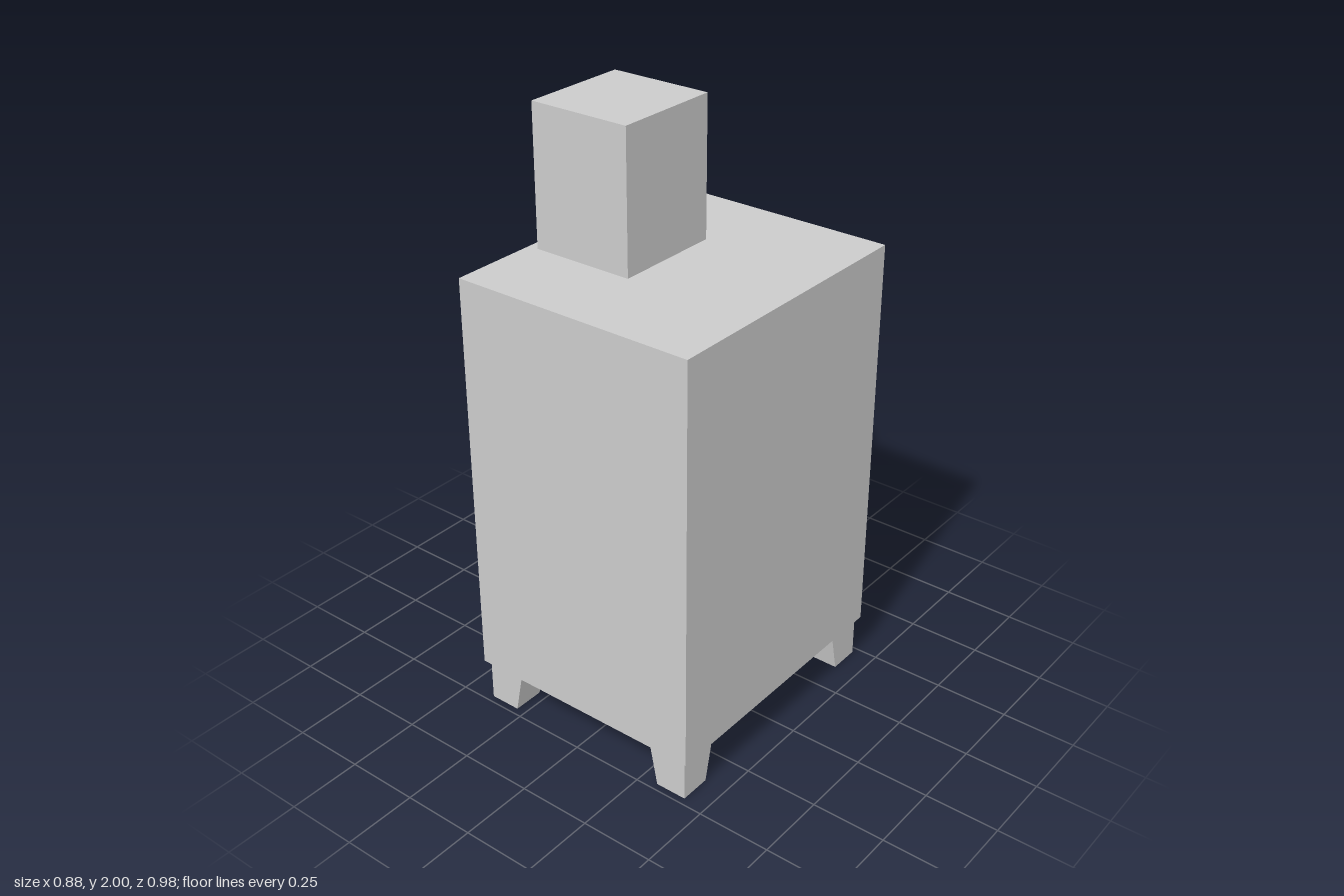
import * as THREE from 'three';

const material = new THREE.MeshStandardMaterial({ color: 0xcccccc, flatShading: true, side: THREE.DoubleSide });

function add(group, name, geometry) {
  const mesh = new THREE.Mesh(geometry, material);
  mesh.name = name;
  group.add(mesh);
  return mesh;
}

// Axis-aligned block from its two extreme corners
function block([x0, y0, z0], [x1, y1, z1]) {
  return new THREE.BoxGeometry(x1 - x0, y1 - y0, z1 - z0)
    .translate((x0 + x1) / 2, (y0 + y1) / 2, (z0 + z1) / 2);
}

// Flat-sided band joining two four-cornered rings, optionally closed by the second ring
function band(a, b, capped) {
  const points = [];
  const quad = (p, q, r, s) => points.push(...p, ...q, ...r, ...p, ...r, ...s);
  for (let i = 0; i < 4; i++) {
    const j = (i + 1) % 4;
    quad(a[i], a[j], b[j], b[i]);
  }
  if (capped) quad(...b);
  const geometry = new THREE.BufferGeometry();
  geometry.setAttribute('position', new THREE.Float32BufferAttribute(points, 3));
  geometry.computeVertexNormals();
  return geometry;
}

// Horizontal ring, counter-clockwise from above
const levelRing = (y, x0, x1, z0, z1) => [[x0, y, z1], [x1, y, z1], [x1, y, z0], [x0, y, z0]];
// Upright ring facing -x
const sideRing = (x, y0, y1, z0, z1) => [[x, y0, z0], [x, y0, z1], [x, y1, z1], [x, y1, z0]];

// Rectangle in the side plane (z, y), used as outline or hole
function rect(PathType, z0, z1, y0, y1) {
  return new PathType([[z0, y0], [z1, y0], [z1, y1], [z0, y1]].map(p => new THREE.Vector2(...p)));
}

export function createModel() {
  const group = new THREE.Group();
  const X0 = -0.41, X1 = 0.435, Z = 0.49, Y0 = 0.148, Y1 = 1.535;
  const pane = [-0.365, 0.365, 0.71, 1.4];
  const niche = [-0.46, 0.472, 0.18, 0.555];

  // Hollow cabinet, open underneath: top, two broad walls and plain end wall
  const cabinet = new THREE.Group();
  cabinet.name = 'cabinet';
  group.add(cabinet);
  const width = X1 - X0, height = Y1 - Y0, midX = (X0 + X1) / 2, midY = (Y0 + Y1) / 2;
  add(cabinet, 'top', new THREE.PlaneGeometry(width, 2 * Z).rotateX(-Math.PI / 2).translate(midX, Y1, 0));
  add(cabinet, 'frontWall', new THREE.PlaneGeometry(width, height).translate(midX, midY, Z));
  add(cabinet, 'rearWall', new THREE.PlaneGeometry(width, height).rotateY(Math.PI).translate(midX, midY, -Z));
  add(cabinet, 'endWall', new THREE.PlaneGeometry(2 * Z, height).rotateY(Math.PI / 2).translate(X1, midY, 0));

  // Door-side wall with openings for the window and the lower niche
  const wall = rect(THREE.Shape, -Z, Z, Y0, Y1);
  wall.holes.push(rect(THREE.Path, ...pane), rect(THREE.Path, ...niche));
  add(cabinet, 'doorWall', new THREE.ShapeGeometry(wall).rotateY(-Math.PI / 2).translate(X0, 0, 0));

  // Shallow niche with a floor sloping up to its back
  const [n0, n1, n2, n3] = niche;
  add(group, 'niche', band(
    sideRing(X0, n2, n3, n0, n1),
    sideRing(X0 + 0.05, n2 + 0.09, n3, n0 + 0.005, n1 - 0.005), true));

  // Door frame and its recessed window
  const frame = rect(THREE.Shape, -0.467, 0.467, 0.58, 1.505);
  frame.holes.push(rect(THREE.Path, ...pane));
  add(group, 'doorFrame', new THREE.ExtrudeGeometry(frame, { depth: 0.014, bevelEnabled: false })
    .rotateY(-Math.PI / 2).translate(X0, 0, 0));
  const [p0, p1, p2, p3] = pane;
  add(group, 'doorWindow', band(
    sideRing(X0, p2, p3, p0, p1), sideRing(X0 + 0.01, p2, p3, p0, p1), true));

  // Square flue and the bar on its side
  add(group, 'flue', block([-0.375, Y1, -0.188], [-0.02, 2, 0.188]));
  add(group, 'doorBar', block([-0.44, 1.457, -0.073], [-0.375, 1.922, 0.07]));

  // Four hollow feet, upright outside and tapering on the inner sides
  for (const sx of [-1, 1]) {
    for (const sz of [-1, 1]) {
      const ring = (y, wx, wz) => {
        const ox = sx < 0 ? -0.392 : 0.42, oz = sz * 0.476;
        const ix = ox - sx * wx, iz = oz - sz * wz;
        return levelRing(y, Math.min(ox, ix), Math.max(ox, ix), Math.min(oz, iz), Math.max(oz, iz));
      };
      const name = (sz > 0 ? 'front' : 'rear') + (sx > 0 ? 'Left' : 'Right') + 'Foot';
      add(group, name, band(ring(0, 0.108, 0.108), ring(Y0, 0.137, 0.14), false));
    }
  }
  return group;
}
